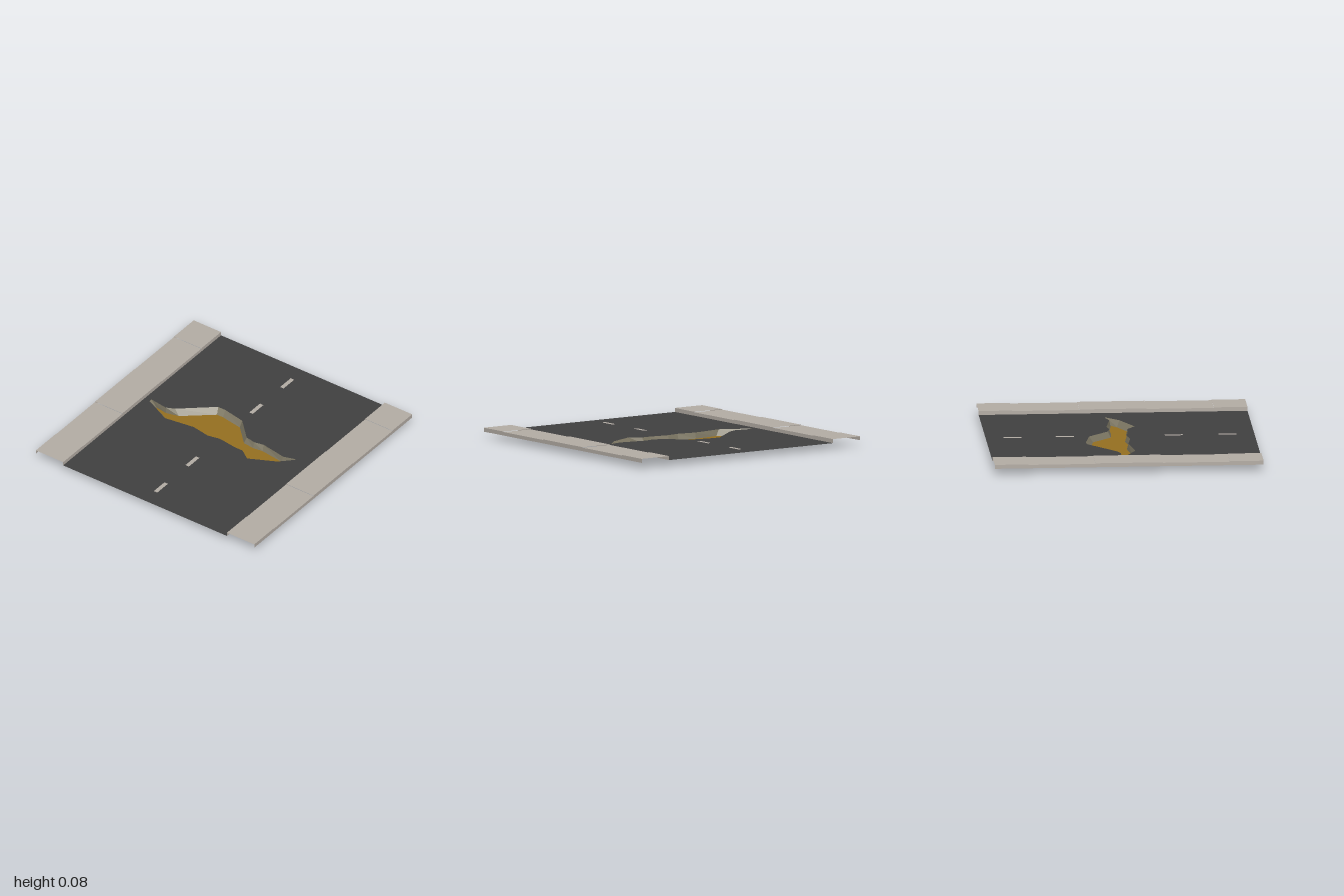
import * as THREE from 'three';

const ROAD_Y = 0.045;

function material(name, color) {
  const m = new THREE.MeshStandardMaterial({ color, side: THREE.DoubleSide, flatShading: true });
  m.name = name;
  return m;
}

// Pit corners: rim x, rim z, floor x, floor z
const PIT = [
  [-0.70, -0.05, -0.645, -0.04], [-0.555, -0.03, -0.55, -0.025],
  [-0.49, -0.06, -0.45, -0.05], [-0.245, -0.265, -0.23, -0.23],
  [-0.18, -0.265, -0.175, -0.23], [0, -0.23, 0, -0.20],
  [0.15, -0.08, 0.14, -0.06], [0.23, -0.065, 0.23, -0.05],
  [0.305, -0.08, 0.31, -0.06], [0.51, -0.045, 0.50, -0.035],
  [0.61, -0.075, 0.545, -0.05], [0.595, -0.055, 0.54, -0.045],
  [0.51, 0.03, 0.47, 0.01], [0.305, 0.13, 0.275, 0.105],
  [0.22, 0.07, 0.22, 0.06], [0.15, 0.07, 0.15, 0.06],
  [0, 0.05, 0, 0.037], [-0.10, 0.07, -0.10, 0.055],
  [-0.245, 0.045, -0.245, 0.035], [-0.485, 0.08, -0.45, 0.06],
  [-0.70, -0.025, -0.64, -0.03],
];

// Horizontal sheet from a shape drawn in x and -z
function sheet(shape, y) {
  return new THREE.ShapeGeometry(shape).rotateX(-Math.PI / 2).translate(0, y, 0);
}

// Sloping band between the rim and floor outlines
function pitWallGeometry() {
  const pos = [];
  PIT.forEach((a, i) => {
    const b = PIT[(i + 1) % PIT.length];
    const rimA = [a[0], ROAD_Y, a[1]], rimB = [b[0], ROAD_Y, b[1]];
    const lowA = [a[2], 0, a[3]], lowB = [b[2], 0, b[3]];
    pos.push(...rimA, ...lowA, ...lowB, ...rimA, ...lowB, ...rimB);
  });
  const g = new THREE.BufferGeometry();
  g.setAttribute('position', new THREE.Float32BufferAttribute(pos, 3));
  g.computeVertexNormals();
  return g;
}

export function createModel() {
  const group = new THREE.Group();
  group.name = 'crackedRoad';
  const asphalt = material('asphalt', 0x404040);
  const concrete = material('concrete', 0xb4ada5);
  const earth = material('pitEarth', 0x7f7965);
  const clay = material('pitClay', 0x957020);

  const add = (parent, name, geometry, mat) => {
    const mesh = new THREE.Mesh(geometry, mat);
    mesh.name = name;
    parent.add(mesh);
    return mesh;
  };

  // Road surface with the jagged opening
  const road = new THREE.Shape([[-0.75, -1], [0.75, -1], [0.75, 1], [-0.75, 1]]
    .map(([x, y]) => new THREE.Vector2(x, y)));
  road.holes.push(new THREE.Path(PIT.map(p => new THREE.Vector2(p[0], -p[1]))));
  add(group, 'roadSurface', sheet(road, ROAD_Y), asphalt);

  // Pit walls and floor
  add(group, 'pitWall', pitWallGeometry(), earth);
  const floor = new THREE.Shape(PIT.map(p => new THREE.Vector2(p[2], -p[3])));
  add(group, 'pitFloor', sheet(floor, 0), clay);

  // Centre line dashes
  for (const z of [-0.8, -0.41, 0.4, 0.8]) {
    const dash = new THREE.PlaneGeometry(0.032, 0.135).rotateX(-Math.PI / 2);
    add(group, 'laneDash', dash, concrete).position.set(0, ROAD_Y + 0.002, z);
  }

  // Pavements: open-ended slabs, each slightly uneven with its neighbour
  const seams = [-1, -0.75, -0.25, 0.25, 0.75, 1];
  for (const side of [1, -1]) {
    const pavement = new THREE.Group();
    pavement.name = side > 0 ? 'leftPavement' : 'rightPavement';
    group.add(pavement);
    for (let i = 0; i < 5; i++) {
      const length = seams[i + 1] - seams[i];
      const z = (seams[i] + seams[i + 1]) / 2;
      const top = i % 2 ? 0.071 : 0.075;
      const height = top - ROAD_Y;
      const slab = new THREE.PlaneGeometry(0.25, length).rotateX(-Math.PI / 2);
      add(pavement, 'slabTop', slab, concrete).position.set(side * 0.875, top, z);
      // Kerb faces the road, outer face looks away from it
      for (const [name, x, turn] of [['kerbFace', 0.75, -side], ['outerFace', 1, side]]) {
        const face = new THREE.PlaneGeometry(length, height).rotateY(turn * Math.PI / 2);
        add(pavement, name, face, concrete).position.set(side * x, ROAD_Y + height / 2, z);
      }
    }
  }
  return group;
}
